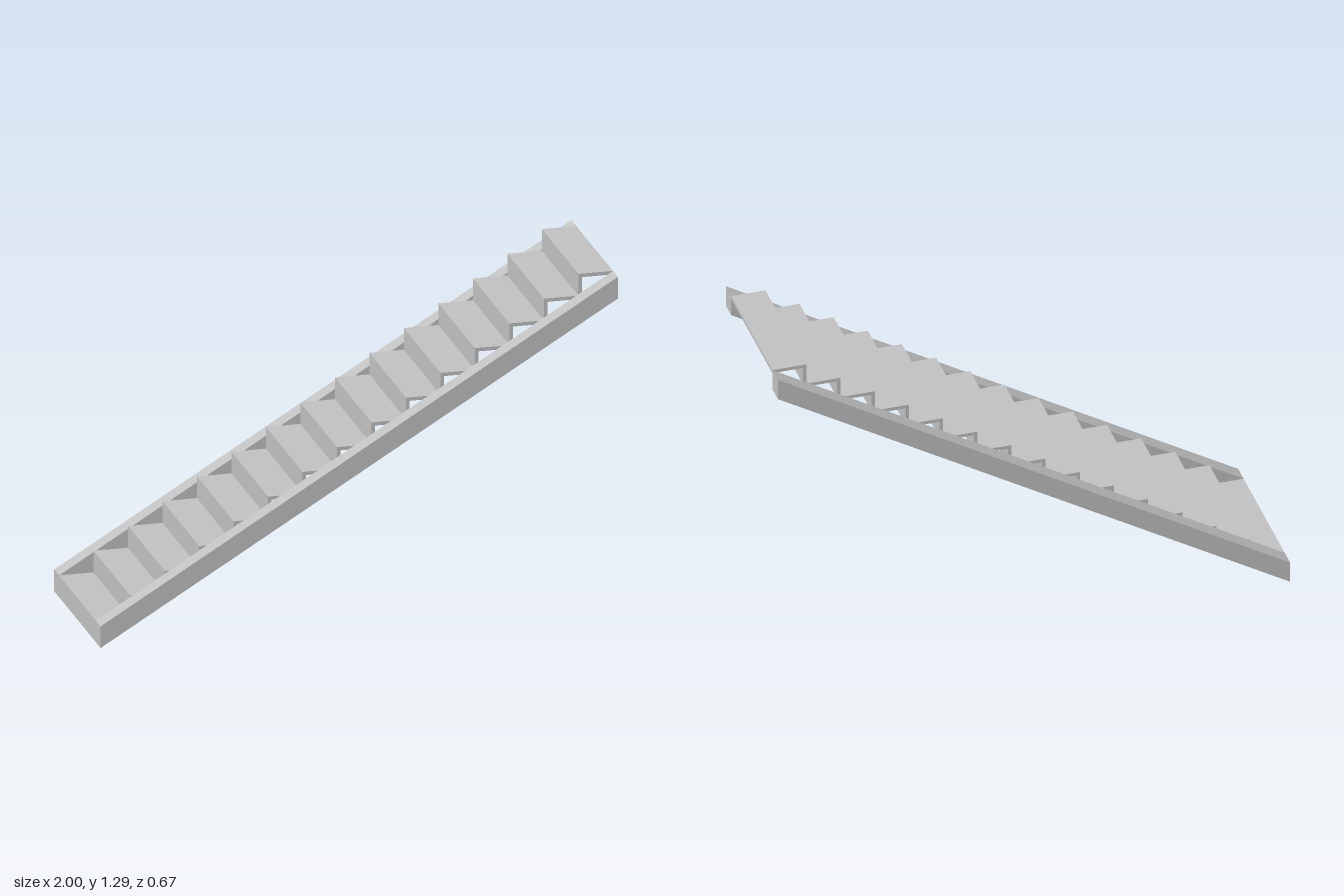
import * as THREE from 'three';

const STEPS = 15;
const RUN = 2 / STEPS;
const RISE = 0.0857;
const BOARD = 0.0137;      // tread and riser thickness
const OUTER = 0.333;       // half width of the whole flight
const INNER = 0.263;       // half width between the stringers

// Extrudes a side profile (x, y) from z0 to z1
function extrudeProfile(points, z0, z1, material, name) {
  const shape = new THREE.Shape(points.map(([x, y]) => new THREE.Vector2(x, y)));
  const geometry = new THREE.ExtrudeGeometry(shape, { depth: z1 - z0, bevelEnabled: false });
  geometry.translate(0, 0, z0);
  const mesh = new THREE.Mesh(geometry, material);
  mesh.name = name;
  return mesh;
}

export function createModel() {
  const grey = new THREE.MeshStandardMaterial({ color: 0xc0c0c0 });
  grey.name = 'light grey';

  const stairs = new THREE.Group();
  stairs.name = 'staircase';

  // Sloping side beams
  const top = STEPS * RISE;
  const beam = [[-1, 0], [1, top - RISE], [1, top], [-1, RISE]];
  stairs.add(extrudeProfile(beam, INNER, OUTER, grey, 'frontStringer'));
  stairs.add(extrudeProfile(beam, -OUTER, -INNER, grey, 'backStringer'));

  // Each step is a riser with a tread on top, open underneath
  const profile = [
    [0, 0], [BOARD, 0], [BOARD, RISE - BOARD],
    [RUN, RISE - BOARD], [RUN, RISE], [0, RISE],
  ];
  for (let i = 0; i < STEPS; i++) {
    const step = extrudeProfile(profile, -INNER, INNER, grey, `step${i + 1}`);
    step.position.set(-1 + i * RUN, i * RISE, 0);
    stairs.add(step);
  }
  return stairs;
}
